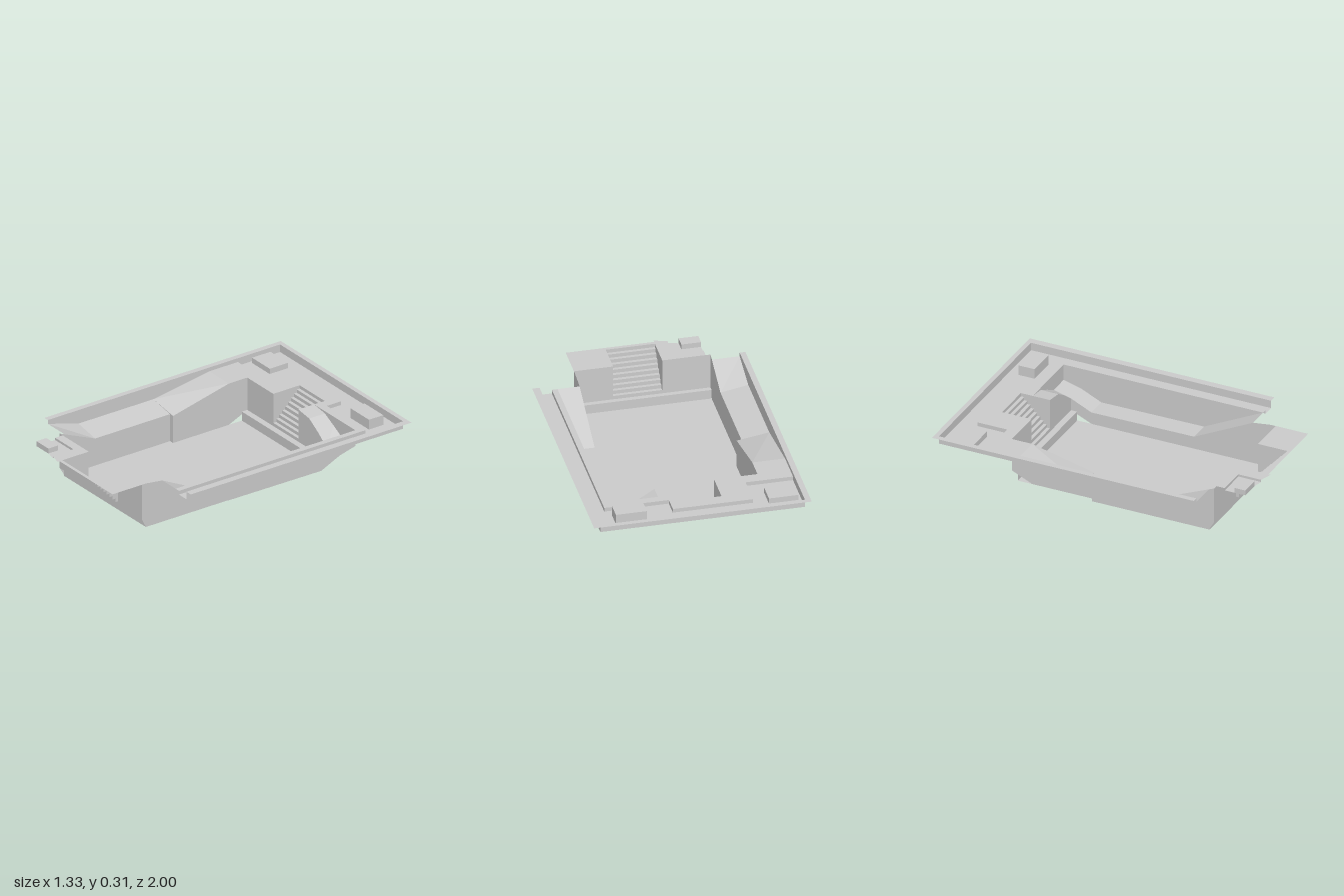
import * as THREE from 'three';

const material = new THREE.MeshStandardMaterial({ color: 0xcccccc, flatShading: true, side: THREE.DoubleSide });

export function createModel() {
  const model = new THREE.Group();
  const FLOOR = 0, LEDGE = 0.06, DECK = 0.25, RAISED = 0.275, RIM = 0.3, FRONT = 0.29;

  const add = (name, geometry) => {
    const mesh = new THREE.Mesh(geometry, material);
    mesh.name = name;
    model.add(mesh);
    return mesh;
  };

  // Ruled surface between two polylines with the same number of points
  const sheet = (name, a, b) => {
    const pos = [];
    for (let i = 0; i < a.length - 1; i++) {
      pos.push(...a[i], ...a[i + 1], ...b[i + 1], ...a[i], ...b[i + 1], ...b[i]);
    }
    const g = new THREE.BufferGeometry();
    g.setAttribute('position', new THREE.Float32BufferAttribute(pos, 3));
    g.computeVertexNormals();
    return add(name, g);
  };

  // Horizontal slab surface from [x, z] outline, with optional rectangular holes
  const flat = (name, y, outline, holes = []) => {
    const toV = ([x, z]) => new THREE.Vector2(x, -z);
    const shape = new THREE.Shape(outline.map(toV));
    for (const [x0, x1, z0, z1] of holes) {
      shape.holes.push(new THREE.Path([[x0, z0], [x0, z1], [x1, z1], [x1, z0]].map(toV)));
    }
    const g = new THREE.ShapeGeometry(shape);
    g.rotateX(-Math.PI / 2);
    g.translate(0, y, 0);
    return add(name, g);
  };
  const rect = (x0, x1, z0, z1) => [[x0, z0], [x0, z1], [x1, z1], [x1, z0]];

  // Vertical wall along an [x, z] path
  const wall = (name, path, y0, y1) =>
    sheet(name, path.map(([x, z]) => [x, y0, z]), path.map(([x, z]) => [x, y1, z]));

  // Open-bottomed box
  const box = (name, x0, x1, z0, z1, y0, y1) => {
    const r = rect(x0, x1, z0, z1);
    wall(name + 'Sides', [...r, r[0]], y0, y1);
    flat(name + 'Top', y1, r);
  };

  // Stairs with the cheek walls that rise above the steps
  const stairs = (name, x0, x1, z0, z1, y0, y1, n) => {
    const p = [[y0, z0]];
    for (let i = 0; i < n; i++) {
      const y = y0 + (y1 - y0) * (i + 1) / n;
      p.push([y, z0 + (z1 - z0) * i / n], [y, z0 + (z1 - z0) * (i + 1) / n]);
    }
    const at = x => p.map(([y, z]) => [x, y, z]);
    sheet(name, at(x0), at(x1));
    for (const x of [x0, x1]) sheet(name + 'Cheek', at(x), p.map(([, z]) => [x, y1, z]));
  };

  // Pit floor and the low ledges at both ends
  const L0 = -0.43, L1 = -0.46, R = 0.375, NOTCH = -0.04;
  flat('pitFloor', FLOOR, [[L0, -0.545], [L0, NOTCH], [L1, NOTCH], [L1, 0.74], [R, 0.74], [R, -0.545]]);
  wall('backLedgeRiser', [[L0, -0.545], [R, -0.545]], FLOOR, LEDGE);
  flat('backLedge', LEDGE, rect(L0, R, -0.585, -0.545));
  wall('frontLedgeRiser', [[L1, 0.74], [R, 0.74]], FLOOR, LEDGE);
  flat('frontLedge', LEDGE, rect(L1, R, 0.74, 0.77));

  // Stairs at both ends
  stairs('frontStairs', -0.165, 0.135, 0.77, 0.985, LEDGE, FRONT, 10);
  stairs('backStairs', -0.165, 0.09, -0.585, -0.8, LEDGE, RAISED, 10);

  // Front block and front corner platform
  wall('frontBlockWall', [[0.135, 0.77], [R, 0.77]], LEDGE, FRONT);
  flat('frontBlockTop', FRONT, rect(0.135, R, 0.77, 0.985));
  wall('frontCornerWall', [[L1, 0.77], [-0.165, 0.77]], LEDGE, FRONT);
  flat('frontCornerPath', FRONT, [[-0.43, 0.77], [-0.43, 0.825], [-0.245, 0.825], [-0.245, 0.976], [-0.165, 1], [-0.165, 0.77]]);
  wall('frontCornerStep', [[-0.43, 0.825], [-0.245, 0.825], [-0.245, 0.976]], RAISED, FRONT);
  flat('frontCornerDeck', RAISED,
    [[-0.43, 0.825], [-0.43, 0.96], [-0.31, 0.96], [-0.245, 0.976], [-0.245, 0.825]]);
  box('frontCornerBox', -0.43, -0.31, 0.89, 0.962, RAISED, 0.308);

  // Side walkway on the -x side: [z, inner y, outer y, inner x]
  const west = [[-0.45, RAISED, RAISED, L0], [NOTCH, 0.18, 0.21, L0], [NOTCH, 0.18, 0.21, L1],
    [0.51, 0.18, 0.21, L1], [0.735, RAISED, RAISED, L1]];
  const westIn = west.map(([z, y, , x]) => [x, y, z]);
  const westOut = west.map(([z, , y]) => [-0.63, y, z]);
  sheet('sideWalkway', westIn, westOut);
  sheet('sideWalkwayOuterWall', westOut, westOut.map(([x, , z]) => [x, RIM, z]));
  const westTop = [[L0, RAISED, -0.585], ...westIn, [L1, FRONT, 0.77]];
  // lower edge follows the end ledges
  sheet('pitSideWall', westTop.map(([x, , z]) => [x, z < -0.58 || z > 0.76 ? LEDGE : FLOOR, z]), westTop);

  // Sunken trench on the +x side: [z, y]
  const trench = [[0.62, RAISED], [0.57, 0.25], [0.23, 0.082], [-0.45, 0.078], [-0.585, 0.14], [-0.7, 0.17]];
  const trenchAt = x => trench.map(([z, y]) => [x, y, z]);
  sheet('trenchFloor', trenchAt(R), trenchAt(0.51));
  sheet('trenchOuterWall', trenchAt(0.51), trench.map(([z]) => [0.51, RAISED, z]));
  const eastTop = [[R, FRONT, 0.77], [R, FRONT, 0.74], ...trenchAt(R).slice(0, 5)];
  sheet('pitTrenchWall', eastTop.map(([x, , z]) => [x, z > 0.76 || z < -0.58 ? LEDGE : FLOOR, z]), eastTop);

  // Ramp from the trench up to the back deck: [x, y at pit side, y at far side]
  const ramp = [[R, 0.14, 0.17], [0.29, 0.205, 0.215], [0.2, 0.26, 0.26], [0.09, RAISED, RAISED]];
  const rampIn = ramp.map(([x, y]) => [x, y, -0.585]);
  const rampOut = ramp.map(([x, , y]) => [x, y, -0.7]);
  sheet('backRamp', rampIn, rampOut);
  sheet('backRampWall', rampIn.map(([x, , z]) => [x, LEDGE, z]), rampIn);
  sheet('backRampRearWall', [[0.51, 0.17, -0.7], ...rampOut],
    [[0.51, RAISED, -0.7], ...rampOut.map(([x, , z]) => [x, RAISED, z])]);
  wall('backPitWall', [[L0, -0.585], [-0.165, -0.585]], LEDGE, RAISED);

  // Raised deck, its step, and the lower deck around it
  const step = [[-0.63, -0.66], [-0.34, -0.66], [-0.34, -0.855], [0.15, -0.855], [0.15, -0.75], [0.545, -0.75], [0.545, 0.62]];
  flat('raisedDeck', RAISED, [...step, [0.51, 0.62], [0.51, -0.7], [0.09, -0.7], [0.09, -0.8],
    [-0.165, -0.8], [-0.165, -0.585], [L0, -0.585], [L0, -0.45], [-0.63, -0.45]]);
  wall('deckStep', step, DECK, RAISED);
  const boxes = [[-0.61, -0.43, -0.885, -0.75, 0.285], [0.32, 0.51, -0.905, -0.8, 0.315]];
  flat('lowerDeck', DECK, [...step, [0.62, 0.62], [0.62, -0.97], [-0.63, -0.97]], boxes.map(b => b.slice(0, 4)));
  for (const [x0, x1, z0, z1, top] of boxes) box('deckBox', x0, x1, z0, z1, DECK, top);

  // Rim wall and flat outer flange
  const rimIn = [[0.62, 0.62], [0.62, -0.97], [-0.63, -0.97], [-0.63, -0.45]];
  wall('rimWall', rimIn, DECK, RIM);
  flat('rimFlange', RIM, [[0.62, 0.62], [0.62, -0.97], [-0.63, -0.97], [-0.63, 0.735],
    [-0.665, 0.735], [-0.665, -1], [0.665, -1], [0.665, 0.62]]);

  return model;
}
